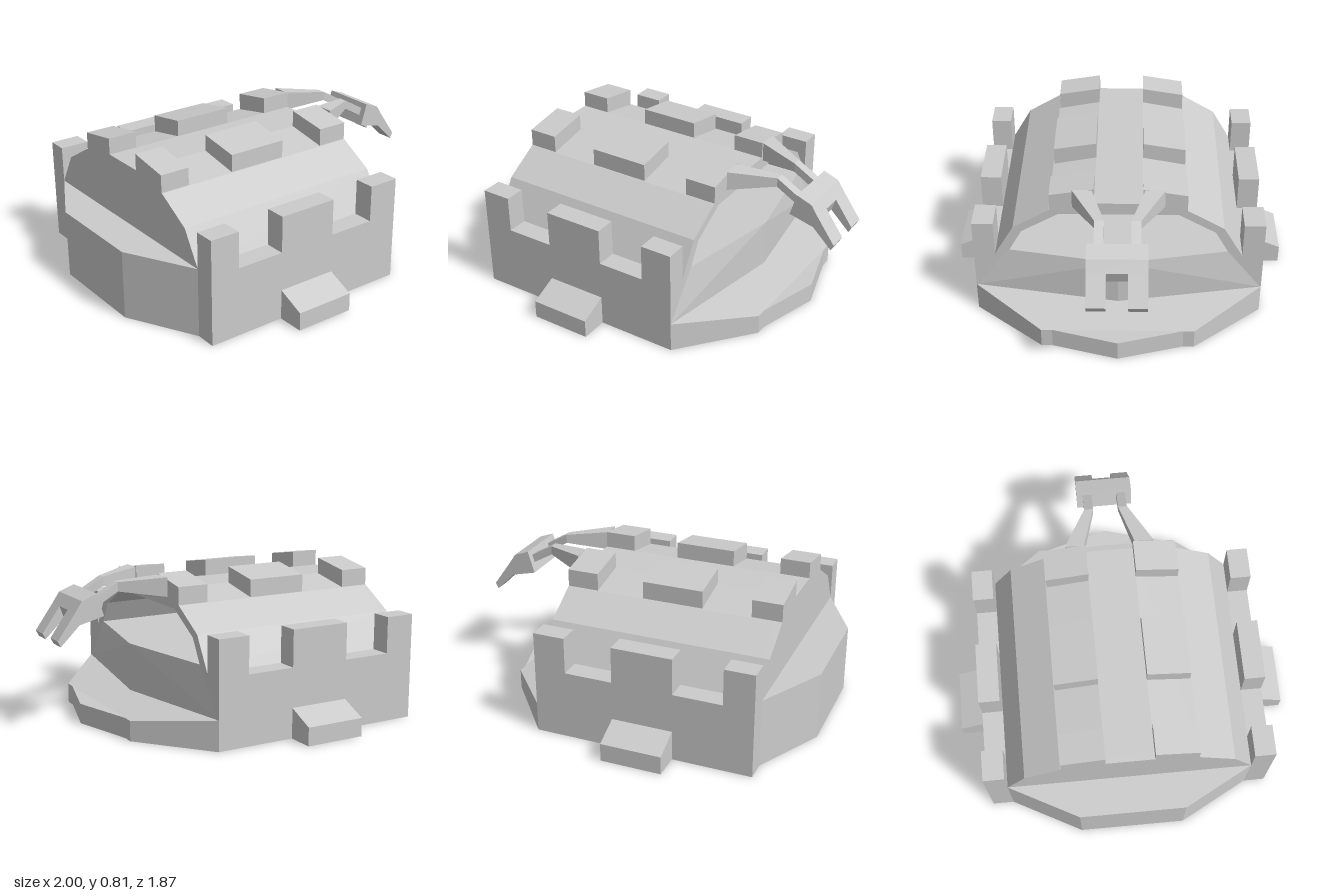
import * as THREE from 'three';
import { ConvexGeometry } from 'three/addons/geometries/ConvexGeometry.js';

const material = new THREE.MeshStandardMaterial({ color: 0xcccccc, flatShading: true });
const toShape = (pts) => new THREE.Shape(pts.map(([a, b]) => new THREE.Vector2(a, b)));
const extrude = (shape, depth) => new THREE.ExtrudeGeometry(shape, { depth, bevelEnabled: false });
// mirror a half outline about the vertical axis of its plane
const mirrorU = (half) => [...half, ...half.map(([u, v]) => [-u, v]).reverse()];
const mirrorV = (half) => [...half, ...half.map(([u, v]) => [u, -v]).reverse()];
// (z, y) profile swept along x
const alongX = (shape, x0, x1) => extrude(shape, x1 - x0).rotateY(Math.PI / 2).translate(x0, 0, 0);
// (x, z) plan raised along y
const raise = (pts, height) => extrude(toShape(pts), height).rotateX(-Math.PI / 2);
const hull = (pts) => new ConvexGeometry(pts.map((p) => new THREE.Vector3(...p)));

export function createModel() {
  const model = new THREE.Group();
  const add = (name, geometry) => {
    const mesh = new THREE.Mesh(geometry, material);
    mesh.name = name;
    model.add(mesh);
  };
  const back = -0.8, front = 0.41;
  const merlons = [[back, -0.635], [-0.365, -0.03], [0.235, front]];

  // solid base and the angled rear half
  add('base', new THREE.BoxGeometry(front - back, 0.38, 1.34).translate((front + back) / 2, 0.19, 0));
  add('rearBase', raise(mirrorV([[back, 0.67], [-1, 0.29]]), 0.38));

  // hollow faceted roof, open at the front
  const outer = mirrorU([[0.67, 0.38], [0.565, 0.56], [0.37, 0.675], [0.13, 0.72]]);
  const inner = mirrorU([[0.59, 0.41], [0.52, 0.535], [0.32, 0.65]]);
  const roof = toShape(outer);
  add('roofBack', alongX(roof, back, back + 0.04));
  const shell = toShape(outer);
  shell.holes.push(toShape(inner));
  add('roof', alongX(shell, back + 0.04, front));

  // pointed front wall under the opening
  add('frontWall', hull([
    [front, 0.12, 0.78], [front, 0.12, -0.78], [0.52, 0.12, 0],
    [front, 0.165, 0.78], [front, 0.165, -0.78],
    [front, 0.41, 0.59], [front, 0.41, -0.59], [0.52, 0.41, 0],
  ]));

  // low sloping apron with a blunt nose
  const apron = [];
  for (const s of [1, -1]) {
    apron.push([front, 0, 0.785 * s], [front, 0.165, 0.785 * s], [0.72, 0, 0.41 * s], [0.72, 0.11, 0.41 * s]);
  }
  add('apron', hull(apron));
  add('apronNose', raise(mirrorV([[0.72, 0.35], [0.82, 0]]).slice(0, 2).concat([[0.72, -0.35]]), 0.11));

  // crenellated side wall outline
  const wall = [[back, 0]];
  merlons.forEach(([a, b], i) => {
    if (i > 0) wall.push([a, 0.38]);
    wall.push([a, 0.58], [b, 0.58]);
    if (i < 2) wall.push([b, 0.38]);
  });
  wall.push([front, 0]);

  for (const s of [1, -1]) {
    add('sideWall', extrude(toShape(wall), 0.115).translate(0, 0, s > 0 ? 0.67 : -0.785));
    // sloped step at the foot of each wall
    add('sideStep', alongX(toShape([[0.78, 0], [0.935, 0], [0.935, 0.1], [0.785, 0.165]].map(([z, y]) => [z * s, y])), ...merlons[1]));
    // raised blocks on the roof
    for (const [a, b] of merlons) {
      add('roofBlock', alongX(toShape([[0.365, 0.66], [0.365, 0.772], [0.13, 0.81], [0.13, 0.70]].map(([z, y]) => [z * s, y])), a, b));
    }
    // bent arm: x, top y, bottom y, inner z, outer z
    const stations = [
      [front, 0.805, 0.70, 0.14, 0.245],
      [0.64, 0.78, 0.73, 0.07, 0.12],
      [0.78, 0.70, 0.65, 0.07, 0.12],
    ].map(([x, top, low, zi, zo]) => [[x, top, zi * s], [x, top, zo * s], [x, low, zi * s], [x, low, zo * s]]);
    for (let i = 0; i < 2; i++) add('arm', hull([...stations[i], ...stations[i + 1]]));
    // prong on the head
    const prong = toShape([[0.877, 0.58], [0.984, 0.476], [1, 0.508], [0.9, 0.647]]);
    add('prong', extrude(prong, 0.1).translate(0, 0, s > 0 ? 0.055 : -0.155));
  }

  // head carried by the arms
  const head = toShape([[0.738, 0.615], [0.877, 0.58], [0.9, 0.647], [0.86, 0.706], [0.775, 0.738]]);
  add('head', extrude(head, 0.31).translate(0, 0, -0.155));
  return model;
}
